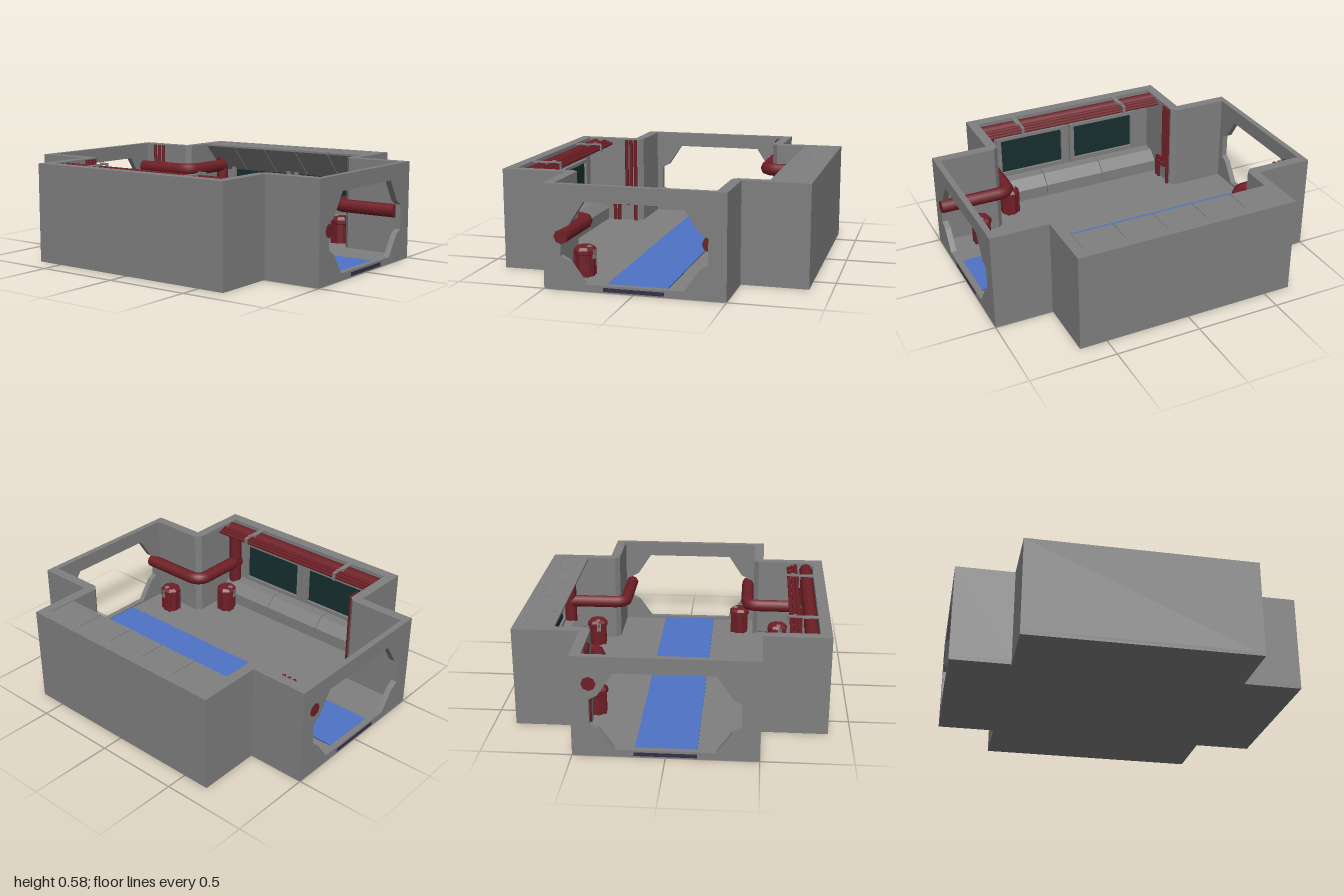
import * as THREE from 'three';

const mat = (color) => new THREE.MeshStandardMaterial({ color });
const GREY = mat(0x7f7f7f), RED = mat(0x6f1f26), BLUE = mat(0x4f72c4), DARK = mat(0x353048), GLASS = mat(0x162f2f);
const V = (a) => new THREE.Vector3(...a);

export function createModel() {
  const root = new THREE.Group();
  const add = (name, geo, material, x = 0, y = 0, z = 0, parent = root) => {
    const m = new THREE.Mesh(geo, material);
    m.name = name;
    m.position.set(x, y, z);
    parent.add(m);
    return m;
  };
  const box = (name, w, h, d, material, x, y, z, parent) =>
    add(name, new THREE.BoxGeometry(w, h, d), material, x, y, z, parent);
  const shapeOf = (pts) => new THREE.Shape(pts.map(([x, y]) => new THREE.Vector2(x, y)));
  const extrude = (shape, depth) => new THREE.ExtrudeGeometry(shape, { depth, bevelEnabled: false });

  // Round pipe through straight runs with curved elbows and closed ends
  const pipe = (name, points, r, bend, sides = 8) => {
    const p = points.map(V), path = new THREE.CurvePath();
    let from = p[0];
    for (let i = 1; i < p.length - 1; i++) {
      const a = p[i].clone().add(p[i - 1].clone().sub(p[i]).setLength(bend));
      const b = p[i].clone().add(p[i + 1].clone().sub(p[i]).setLength(bend));
      path.add(new THREE.LineCurve3(from, a));
      path.add(new THREE.QuadraticBezierCurve3(a, p[i], b));
      from = b;
    }
    path.add(new THREE.LineCurve3(from, p[p.length - 1]));
    const g = new THREE.Group();
    g.name = name;
    root.add(g);
    add(name + 'Run', new THREE.TubeGeometry(path, points.length > 2 ? 90 : 1, r, sides), RED, 0, 0, 0, g);
    const ends = [[p[0], p[1]], [p[p.length - 1], p[p.length - 2]]];
    for (const [end, next] of ends) {
      const cap = add(name + 'Cap', new THREE.CircleGeometry(r, sides), RED, end.x, end.y, end.z, g);
      cap.lookAt(end.clone().multiplyScalar(2).sub(next));
    }
  };

  // Floor with the central walkway
  const plan = [[.5, 1], [.5, .66], [.875, .66], [.875, -.66], [.5, -.66], [.5, -1],
    [-.5, -1], [-.5, -.66], [-.875, -.66], [-.875, .66], [-.5, .66], [-.5, 1]];
  add('floor', extrude(shapeOf(plan), .025).rotateX(-Math.PI / 2), GREY);
  box('walkwayBase', .336, .022, 2.001, DARK, 0, .017, 0);
  box('walkway', .336, .004, 1.99, BLUE, 0, .029, 0);

  // Stepped side walls
  const side = [[.5, 1], [.5, .66], [.875, .66], [.875, -.66], [.5, -.66], [.5, -1], [.44, -1],
    [.44, -.63], [.47, -.6], [.81, -.6], [.81, .6], [.47, .6], [.44, .63], [.44, 1]];
  for (const s of [1, -1]) {
    const wall = extrude(shapeOf(side.map(([x, z]) => [s * x, z])), .575).rotateX(-Math.PI / 2);
    add(s > 0 ? 'leftWall' : 'rightWall', wall, GREY);
  }

  // End walls with faceted doorways
  const half = [[.27, .04], [.355, .16], [.402, .185], [.402, .33], [.355, .355], [.27, .485]];
  const door = [...half, ...half.map(([x, y]) => [-x, y]).reverse()];
  for (const s of [1, -1]) {
    const wall = shapeOf([[-.44, 0], [.44, 0], [.44, .575], [-.44, .575]]);
    wall.holes.push(new THREE.Path(door.map(([x, y]) => new THREE.Vector2(x, y))));
    add(s > 0 ? 'frontWall' : 'backWall', extrude(wall, .035), GREY, 0, 0, s > 0 ? .965 : -1);
  }

  // Bench and framed windows along both long walls
  const bench = [[.81, .02], [.68, .02], [.68, .1], [.74, .16], [.81, .16]];
  for (const s of [1, -1]) {
    for (let i = 0; i < 3; i++) {
      add('bench', extrude(shapeOf(bench.map(([x, y]) => [s * x, y])), .395), GREY, 0, 0, -.5975 + i * .4);
    }
    for (const z of [-.255, .255]) {
      box('window', .008, .23, .44, GLASS, s * .808, .315, z);
      for (const e of [-1, 1]) {
        box('windowPost', .025, .27, .03, GREY, s * .8, .315, z + e * .225);
        box('windowRail', .025, .02, .48, GREY, s * .8, .315 + e * .125, z);
      }
    }
  }

  // Overhead lockers: wedge panels over a slightly recessed core
  const locker = [[.645, .574], [.645, .562], [.81, .39], [.81, .574]];
  const core = [[.655, .57], [.655, .56], [.81, .398], [.81, .57]];
  for (let i = 0; i < 5; i++) {
    add('locker', extrude(shapeOf(locker), .2375), GREY, 0, 0, -.6125 + i * .2425);
  }
  add('lockerCore', extrude(shapeOf(core), 1.2), GREY, 0, 0, -.6);

  // Large pipes leading into the corridors
  pipe('frontLeftPipe', [[.4, .29, .967], [.4, .29, .56], [.77, .29, .56]], .04, .08);
  pipe('frontRightPipe', [[-.4, .29, 1.0005], [-.4, .29, .56], [-.8, .29, .56]], .04, .08);
  pipe('backLeftPipe', [[.4, .42, -1.0005], [.4, .42, -.56], [.77, .42, -.56]], .04, .08);
  pipe('overheadPipe', [[-.77, .53, -.6], [-.77, .53, .6]], .04, 0);
  for (const [x, z] of [[.765, .56], [.765, -.56], [-.765, .56]]) {
    pipe('riserPipe', [[x, .15, z], [x, .5, z]], .04, 0);
  }

  // Thin conduits: along the ceiling, and down the back wall to the floor
  [-.703, -.682, -.66].forEach((x, i) => {
    pipe('ceilingConduit', [[x, .556 - i * .008, .6], [x, .556 - i * .008, -.6]], .012, 0, 6);
    const drop = -.545 + i * .03, low = .17 - i * .03, foot = -.63 + i * .03;
    const points = [[drop, .57, -.588], [drop, i < 2 ? low : .02, -.588]];
    if (i < 2) points.push([foot, low, -.588], [foot, .02, -.588]);
    pipe('wallConduit', points, .012, .015, 6);
  });
  for (const z of [-.81, -.845, -.88]) {
    pipe('corridorConduit', [[.428, .03, z], [.428, .57, z]], .011, 0, 6);
  }

  // Clamps holding the overhead pipes
  for (const z of [-.345, .365]) {
    box('pipeClamp', .09, .008, .03, GREY, -.768, .57, z);
    box('clampSide', .008, .08, .03, GREY, -.725, .534, z);
    box('conduitClamp', .085, .008, .018, GREY, -.68, .572, z);
    box('clampBolt', .022, .012, .014, GREY, -.68, .577, z);
    box('clampTab', .008, .05, .018, GREY, -.642, .55, z);
  }

  // Canisters with raised lids and grey latches
  const profile = [[0, 0], [.057, 0], [.057, .12], [.065, .125], [.065, .148], [.05, .165], [0, .165]];
  const spots = [[-.348, .775, 1.35], [-.6, .495, 3.4], [.432, -.522, .3], [.578, -.483, .3], [.578, .495, 3.4]];
  const can = new THREE.LatheGeometry(profile.map(([x, y]) => new THREE.Vector2(x, y)), 8).toNonIndexed();
  can.computeVertexNormals();
  for (const [x, z, turn] of spots) {
    const g = new THREE.Group();
    g.name = 'canister';
    g.position.set(x, .025, z);
    g.rotation.y = turn;
    root.add(g);
    add('canisterBody', can, RED, 0, 0, 0, g);
    box('latchTop', .026, .006, .028, GREY, 0, .165, .03, g);
    box('latchSide', .026, .05, .008, GREY, 0, .125, .06, g);
    for (let i = 0; i < 4; i++) {
      const a = i * Math.PI / 2 + Math.PI / 4;
      const rib = box('canisterRib', .012, .12, .012, RED, Math.sin(a) * .057, .06, Math.cos(a) * .057, g);
      rib.rotation.y = a;
    }
  }
  return root;
}
